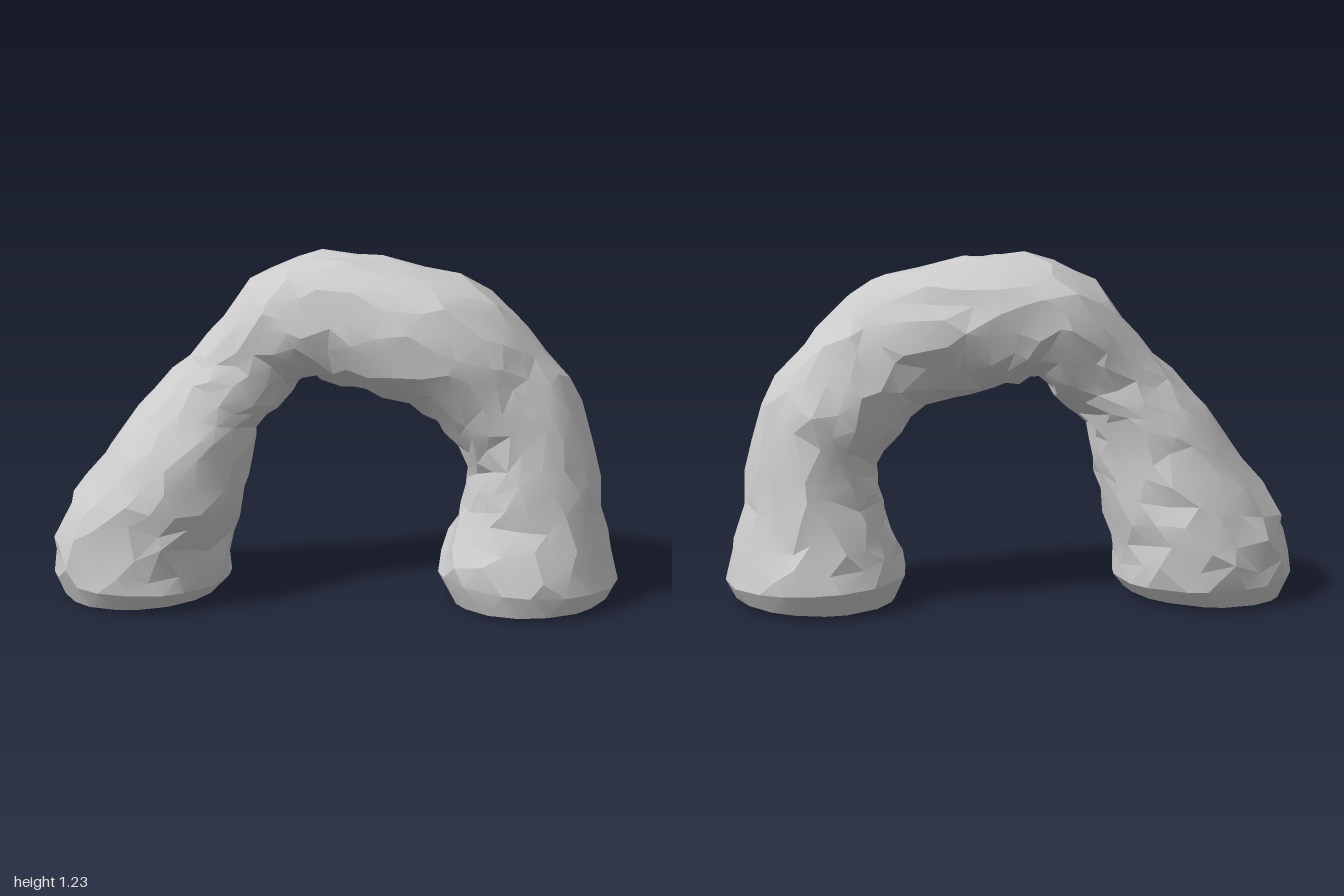
import * as THREE from 'three';
import { toCreasedNormals } from 'three/addons/utils/BufferGeometryUtils.js';

// small seeded generator, returns -1..1
function seeded(seed) {
  return () => {
    seed = (seed * 16807) % 2147483647;
    return (seed / 2147483647) * 2 - 1;
  };
}

// cross-sections from one foot to the other:
// outer x, y, inner x, y, front z, back z
const SECTIONS = [
  [-0.97, 0.03, -0.41, 0.02, 0.30, -0.26],
  [-1.00, 0.08, -0.37, 0.07, 0.34, -0.30],
  [-0.99, 0.20, -0.37, 0.19, 0.34, -0.30],
  [-0.93, 0.34, -0.34, 0.32, 0.34, -0.27],
  [-0.83, 0.48, -0.31, 0.44, 0.32, -0.24],
  [-0.73, 0.63, -0.29, 0.55, 0.26, -0.21],
  [-0.61, 0.76, -0.27, 0.63, 0.20, -0.19],
  [-0.51, 0.86, -0.19, 0.69, 0.15, -0.18],
  [-0.41, 0.97, -0.14, 0.75, 0.14, -0.21],
  [-0.28, 1.13, -0.08, 0.80, 0.18, -0.24],
  [-0.14, 1.20, -0.03, 0.77, 0.20, -0.25],
  [0.03, 1.22, 0.06, 0.755, 0.21, -0.25],
  [0.25, 1.19, 0.15, 0.73, 0.25, -0.24],
  [0.48, 1.13, 0.25, 0.70, 0.25, -0.24],
  [0.61, 1.02, 0.34, 0.65, 0.24, -0.25],
  [0.70, 0.92, 0.42, 0.55, 0.22, -0.26],
  [0.82, 0.78, 0.47, 0.48, 0.21, -0.25],
  [0.90, 0.58, 0.46, 0.40, 0.22, -0.24],
  [0.93, 0.39, 0.44, 0.31, 0.24, -0.27],
  [0.96, 0.23, 0.39, 0.20, 0.27, -0.31],
  [1.00, 0.08, 0.36, 0.10, 0.30, -0.34],
  [0.97, 0.03, 0.41, 0.02, 0.28, -0.30],
];

function archGeometry(rings, sides) {
  const rnd = seeded(4217);
  const curve = (pick) => new THREE.CatmullRomCurve3(
    SECTIONS.map((s) => new THREE.Vector3(...pick(s))), false, 'catmullrom', 0.5);
  const outer = curve((s) => [s[0], s[1], s[4]]);
  const inner = curve((s) => [s[2], s[3], s[5]]);
  const pos = [], index = [];
  const rim = 1 / (SECTIONS.length - 1);

  // jittered rings of rock; the first and last close the rounded rim of a foot
  for (let i = 0; i <= rings; i++) {
    const end = i === 0 || i === rings;
    const nearEnd = i < 2 || i > rings - 2;
    for (let j = 0; j < sides; j++) {
      const step = i - 1 + (nearEnd ? 0 : rnd() * 0.34);
      const t = end ? i / rings : rim + (1 - 2 * rim) * step / (rings - 2);
      const o = outer.getPoint(t), n = inner.getPoint(t);
      const a = ((j + (i % 2) * 0.5 + rnd() * 0.25) / sides) * Math.PI * 2;
      const r = 1.005 + rnd() * (nearEnd ? 0.01 : 0.05);
      const c = Math.cos(a) * r, s = Math.sin(a) * r;
      const x = (o.x + n.x) / 2 + c * (o.x - n.x) / 2;
      const y = (o.y + n.y) / 2 + c * (o.y - n.y) / 2;
      const z = (o.z + n.z) / 2 + s * (o.z - n.z) / 2;
      pos.push(
        THREE.MathUtils.clamp(x, -1, 1),
        end ? 0.012 + 0.012 * c * Math.sign(x) : y,
        THREE.MathUtils.clamp(z, -0.34, 0.34));
    }
  }

  // skin, with diagonals following the half-step offset of each ring
  for (let i = 0; i < rings; i++) {
    for (let j = 0; j < sides; j++) {
      const k = (j + 1) % sides;
      const a = i * sides + j, b = i * sides + k;
      const c = a + sides, d = b + sides;
      if (i % 2 === 0) index.push(a, b, c, b, d, c);
      else index.push(a, d, c, a, b, d);
    }
  }

  // flat undersides of both feet
  const foot = (x, z, start, flip) => {
    const m = pos.length / 3;
    pos.push(x, 0.01, z);
    for (let j = 0; j < sides; j++) {
      const a = start + j, b = start + (j + 1) % sides;
      if (flip) index.push(m, a, b);
      else index.push(m, b, a);
    }
  };
  foot(-0.69, 0.02, 0, false);
  foot(0.69, -0.02, rings * sides, true);

  const geo = new THREE.BufferGeometry();
  geo.setAttribute('position', new THREE.Float32BufferAttribute(pos, 3));
  geo.setIndex(index);
  return toCreasedNormals(geo, 0.3);
}

export function createModel() {
  const group = new THREE.Group();
  group.name = 'rockArch';
  const stone = new THREE.MeshStandardMaterial({ color: 0xcccccc });
  const arch = new THREE.Mesh(archGeometry(34, 18), stone);
  arch.name = 'archStone';
  group.add(arch);
  return group;
}
